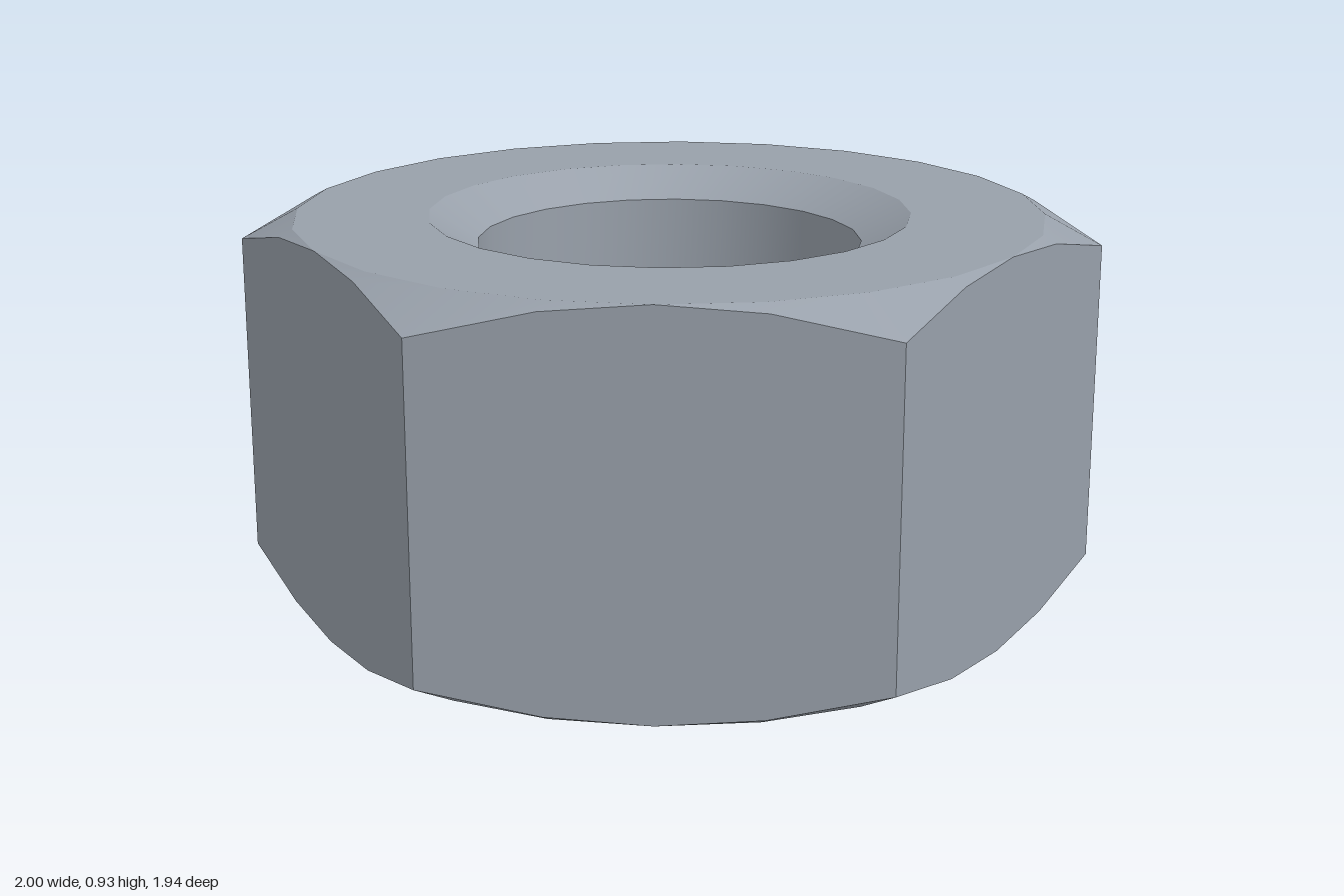
import * as THREE from 'three';

const SEGMENTS = 24;             // four per hexagon side
const STEP = (Math.PI * 2) / SEGMENTS;
const TURN = 0.2075;             // angle of the first hexagon corner
const HEIGHT = 0.925;
const APOTHEM = 0.885;           // centre to flat
const SLOPE = 0.55;              // chamfer drop per unit of radius
const BORE = 0.455;
const MOUTH = 0.57;              // wide end of the countersink
const SINK = 0.068;              // countersink depth

// distance from the axis to the hexagon at segment i
const hexRadius = (i) => APOTHEM / Math.cos(((i % 4) - 2) * STEP);

// ring of points from radius and height rules
function ring(radius, height) {
  return Array.from({ length: SEGMENTS }, (_, i) => {
    const a = TURN + i * STEP;
    const r = radius(i);
    return [Math.cos(a) * r, height(i), Math.sin(a) * r];
  });
}
const circle = (r, y) => ring(() => r, () => y);

// closed band of quads between two rings
function band(name, from, to, material, flat) {
  const index = [];
  for (let i = 0; i < SEGMENTS; i++) {
    const j = (i + 1) % SEGMENTS;
    index.push(i, i + SEGMENTS, j, j, i + SEGMENTS, j + SEGMENTS);
  }
  let geometry = new THREE.BufferGeometry();
  geometry.setAttribute('position', new THREE.Float32BufferAttribute([...from, ...to].flat(), 3));
  geometry.setIndex(index);
  if (flat) geometry = geometry.toNonIndexed();
  geometry.computeVertexNormals();
  const mesh = new THREE.Mesh(geometry, material);
  mesh.name = name;
  return mesh;
}

export function createModel() {
  const steel = new THREE.MeshStandardMaterial({ color: 0x98a0aa });
  steel.name = 'steel';

  const drop = (i) => (hexRadius(i) - APOTHEM) * SLOPE;
  const hexBottom = ring(hexRadius, drop);
  const hexTop = ring(hexRadius, (i) => HEIGHT - drop(i));
  const rimBottom = circle(APOTHEM, 0);
  const rimTop = circle(APOTHEM, HEIGHT);
  const mouthBottom = circle(MOUTH, 0);
  const mouthTop = circle(MOUTH, HEIGHT);
  const boreBottom = circle(BORE, SINK);
  const boreTop = circle(BORE, HEIGHT - SINK);

  const nut = new THREE.Group();
  nut.name = 'hexNut';
  nut.add(
    // outside
    band('hexSides', hexBottom, hexTop, steel, true),
    band('topChamfer', hexTop, rimTop, steel, false),
    band('bottomChamfer', rimBottom, hexBottom, steel, false),
    // flat end faces
    band('topFace', rimTop, mouthTop, steel, true),
    band('bottomFace', mouthBottom, rimBottom, steel, true),
    // hole
    band('topCountersink', mouthTop, boreTop, steel, false),
    band('bore', boreTop, boreBottom, steel, false),
    band('bottomCountersink', boreBottom, mouthBottom, steel, false),
  );
  return nut;
}
